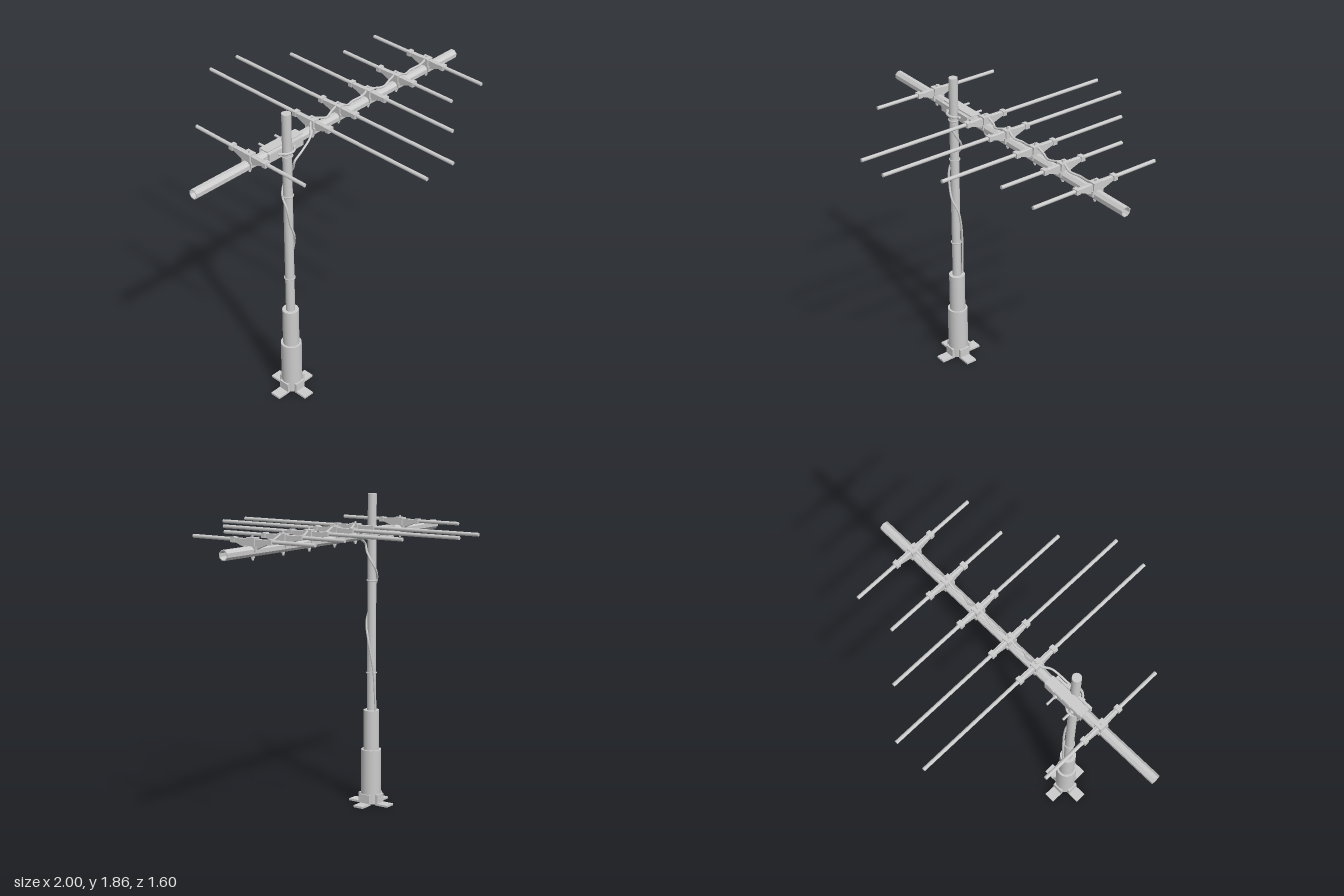
import * as THREE from 'three';

const MAST_X = -0.39, MAST_Z = 0.045, BOOM_Y = 1.633, ROD_Y = 1.687;

export function createModel() {
  const root = new THREE.Group();
  const mat = new THREE.MeshStandardMaterial({ color: 0xcccccc });
  const flat = new THREE.MeshStandardMaterial({ color: 0xcccccc, flatShading: true });

  const add = (parent, name, geo, x = 0, y = 0, z = 0, m = mat) => {
    const mesh = new THREE.Mesh(geo, m);
    mesh.name = name;
    mesh.position.set(x, y, z);
    parent.add(mesh);
    return mesh;
  };
  const group = (name, x = 0, y = 0, z = 0) => {
    const g = new THREE.Group();
    g.name = name;
    g.position.set(x, y, z);
    root.add(g);
    return g;
  };
  const box = (w, h, d) => new THREE.BoxGeometry(w, h, d);
  const rod = (r, len, sides = 12) => new THREE.CylinderGeometry(r, r, len, sides);
  const rodZ = (r, len, sides) => rod(r, len, sides).rotateX(Math.PI / 2);

  // Mast, stepped sleeves and cable ties
  const mast = group('mast', MAST_X, 0, MAST_Z);
  add(mast, 'pole', rod(0.026, 1.845, 24), 0, 0.9325);
  add(mast, 'upperSleeve', rod(0.047, 0.565, 24), 0, 0.2925);
  add(mast, 'lowerSleeve', rod(0.06, 0.33, 24), 0, 0.17);
  for (const y of [0.8, 1.35, 1.6])
    add(mast, 'cableTie', new THREE.TorusGeometry(0.029, 0.004, 6, 24).rotateX(Math.PI / 2), 0, y);

  // Four angle feet around the base
  const footShape = new THREE.Shape([
    [0.052, 0], [0.137, 0], [0.137, 0.012], [0.068, 0.012], [0.068, 0.065], [0.052, 0.065],
  ].map(p => new THREE.Vector2(...p)));
  const footGeo = new THREE.ExtrudeGeometry(footShape, { depth: 0.066, bevelEnabled: false })
    .translate(0, 0, -0.033);
  for (let i = 0; i < 4; i++)
    add(mast, 'foot', footGeo).rotation.y = i * Math.PI / 2;

  // Hollow eight-sided boom
  const octagon = r => Array.from({ length: 8 }, (_, i) => {
    const a = (i + 0.5) * Math.PI / 4;
    return new THREE.Vector2(Math.cos(a) * r, Math.sin(a) * r);
  });
  const boomShape = new THREE.Shape(octagon(0.029));
  boomShape.holes.push(new THREE.Path(octagon(0.024)));
  const boomGeo = new THREE.ExtrudeGeometry(boomShape, { depth: 2, bevelEnabled: false })
    .translate(0, 0, -1).rotateY(Math.PI / 2);
  add(root, 'boom', boomGeo, 0, BOOM_Y, 0, flat);

  // Winged holder profile in the z-y plane
  const half = [[0.028, 1.64], [0.045, 1.65], [0.108, 1.674], [0.132, 1.676], [0.132, 1.694], [0.026, 1.696]];
  const wingShape = new THREE.Shape([
    ...half, ...half.map(([z, y]) => [-z, y]).reverse(),
  ].map(p => new THREE.Vector2(...p)));
  const wingGeo = new THREE.ExtrudeGeometry(wingShape, { depth: 0.026, bevelEnabled: false })
    .translate(0, 0, -0.013).rotateY(Math.PI / 2);

  // Cross rods with their holders
  const elements = [[-0.615, 0.4], [-0.155, 0.8], [0.045, 0.8], [0.28, 0.6], [0.51, 0.4], [0.765, 0.4]];
  for (const [x, reach] of elements) {
    const g = group('element', x);
    add(g, 'crossRod', rodZ(0.0105, reach * 2), 0, ROD_Y);
    add(g, 'holderWing', wingGeo);
    add(g, 'holderBlock', box(0.044, 0.064, 0.054), 0, 1.672);
    for (const s of [-1, 1]) {
      add(g, 'endCollar', box(0.038, 0.028, 0.026), 0, 1.686, s * 0.122);
      add(g, 'saddleCheek', box(0.044, 0.03, 0.008), 0, 1.645, s * 0.031);
    }
    add(g, 'bolt', rod(0.006, 0.13, 8), 0, 1.651);
    add(g, 'nut', rod(0.011, 0.012, 6), 0, 1.602, 0, flat);
  }

  // Clamp joining boom and mast
  const clamp = group('mastClamp', MAST_X, BOOM_Y);
  add(clamp, 'backPlate', box(0.26, 0.052, 0.008), 0.01, 0, -0.034);
  add(clamp, 'topFlange', box(0.26, 0.006, 0.06), 0.01, 0.03, -0.006);
  add(clamp, 'bottomFlange', box(0.22, 0.006, 0.06), 0, -0.031, -0.006);
  for (const s of [-1, 1]) {
    add(clamp, 'frontPlate', box(0.09, 0.05, 0.014), s * 0.078, 0, 0.036);
    add(clamp, 'clampBolt', rodZ(0.007, 0.16, 8), s * 0.058, 0, -0.024);
    add(clamp, 'clampNut', rodZ(0.013, 0.01, 6), s * 0.058, 0, -0.044, flat);
  }
  const strap = new THREE.CatmullRomCurve3([
    [-0.058, 0, 0.03], [-0.045, 0, 0.055], [-0.022, 0, 0.075], [0, 0, 0.079],
    [0.022, 0, 0.075], [0.045, 0, 0.055], [0.058, 0, 0.03],
  ].map(p => new THREE.Vector3(...p)));
  add(clamp, 'uBolt', new THREE.TubeGeometry(strap, 24, 0.007, 8));

  // Cable winding up the mast, then looping over the holders
  const path = [
    [-0.385, 0.56, 0.01], [-0.37, 0.8, 0.016], [-0.358, 0.92, 0.03], [-0.356, 1.02, 0.05],
    [-0.38, 1.1, 0.076], [-0.405, 1.18, 0.074], [-0.418, 1.28, 0.064], [-0.413, 1.35, 0.026],
    [-0.38, 1.41, 0.008], [-0.358, 1.46, 0.024], [-0.359, 1.52, 0.06], [-0.365, 1.565, 0.075],
    [-0.3, 1.6, 0.068], [-0.22, 1.645, 0.05], [-0.185, 1.685, 0.015],
  ];
  const tops = elements.slice(1).map(e => e[0]);
  tops.forEach((x, i) => {
    path.push([x, 1.703, 0]);
    if (i < tops.length - 1) {
      const next = tops[i + 1], s = i % 2 ? 1 : -1;
      path.push([x + 0.06, 1.677, 0.008 * s], [(x + next) / 2, 1.671, -0.008 * s], [next - 0.05, 1.682, 0.004 * s]);
    }
  });
  const curve = new THREE.CatmullRomCurve3(path.map(p => new THREE.Vector3(...p)));
  add(root, 'cable', new THREE.TubeGeometry(curve, 260, 0.0065, 8));

  return root;
}
